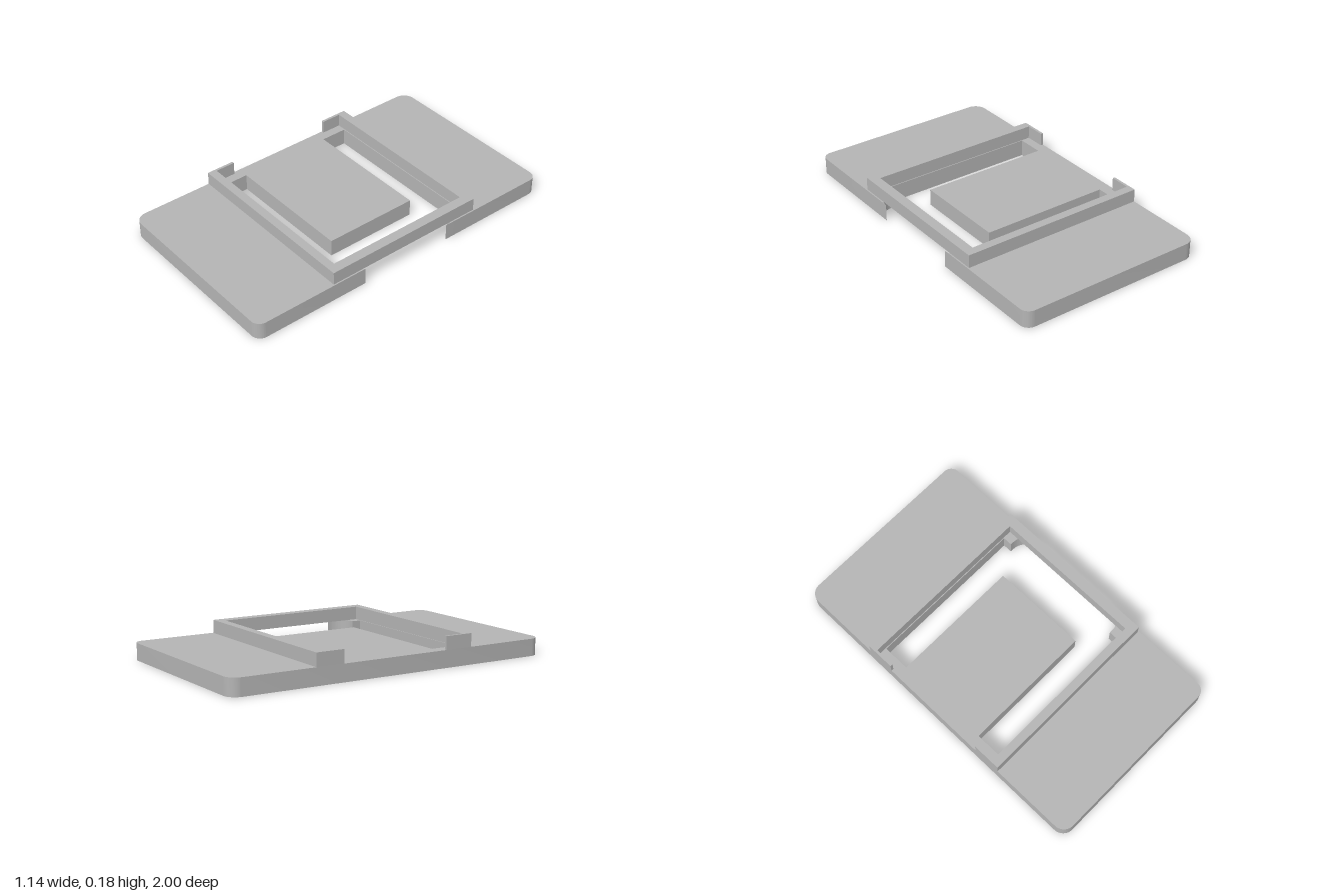
import * as THREE from 'three';
import { toCreasedNormals } from 'three/addons/utils/BufferGeometryUtils.js';

// Extrudes a plan shape (x, -z) upward from y0 to y1
function slab(name, shape, y0, y1, material) {
  const geo = new THREE.ExtrudeGeometry(shape, { depth: y1 - y0, bevelEnabled: false, curveSegments: 12 });
  geo.rotateX(-Math.PI / 2);
  geo.translate(0, y0, 0);
  const mesh = new THREE.Mesh(toCreasedNormals(geo, 0.6), material);
  mesh.name = name;
  return mesh;
}

export function createModel() {
  const group = new THREE.Group();
  group.name = 'mountingPlate';
  const grey = new THREE.MeshStandardMaterial({ color: 0xb4b4b4 });
  grey.name = 'grey plastic';

  const X = 0.57, H = 0.1, TOP = 0.177;
  const rl = 0.07, rr = 0.055; // corner radii, left and right edge of plan
  const notch = 0.1, arm = 0.29, slot = 0.445;

  // Base plate: rounded ends, central tongue and a C-shaped opening
  const s = new THREE.Shape();
  s.moveTo(-X + rl, -1);
  s.lineTo(X - rr, -1);
  s.absarc(X - rr, -1 + rr, rr, -Math.PI / 2, 0, false);
  s.lineTo(X, -arm);
  s.absarc(X - notch, -arm, notch, 0, -Math.PI / 2, true); // hollow corner
  s.lineTo(0.45, -arm - notch);
  s.lineTo(0.45, -slot);
  s.lineTo(-0.5, -slot);
  s.lineTo(-0.5, -0.285);
  s.lineTo(0.277, -0.285); // tongue
  s.lineTo(0.277, 0.285);
  s.lineTo(-0.5, 0.285);
  s.lineTo(-0.5, slot);
  s.lineTo(0.45, slot);
  s.lineTo(0.45, arm + notch);
  s.lineTo(X - notch, arm + notch);
  s.absarc(X - notch, arm, notch, Math.PI / 2, 0, true);
  s.lineTo(X, 1 - rr);
  s.absarc(X - rr, 1 - rr, rr, 0, Math.PI / 2, false);
  s.lineTo(-X + rl, 1);
  s.absarc(-X + rl, 1 - rl, rl, Math.PI / 2, Math.PI, false);
  s.lineTo(-X, -1 + rl);
  s.absarc(-X + rl, -1 + rl, rl, Math.PI, Math.PI * 1.5, false);
  group.add(slab('basePlate', s, 0, H, grey));

  // Raised frame: two rails, a cross bar and short thin lips at the open side
  const half = [[-X, -0.33], [-X, -0.5], [0.562, -0.5]];
  const inner = [[0.503, -0.45], [-0.555, -0.45], [-0.555, -0.33]];
  const flip = pts => pts.map(([x, y]) => [x, -y]).reverse();
  const outline = [...half, ...flip(half), ...flip(inner), ...inner];
  const frame = new THREE.Shape(outline.map(([x, y]) => new THREE.Vector2(x, y)));
  group.add(slab('raisedFrame', frame, H, TOP, grey));

  return group;
}
